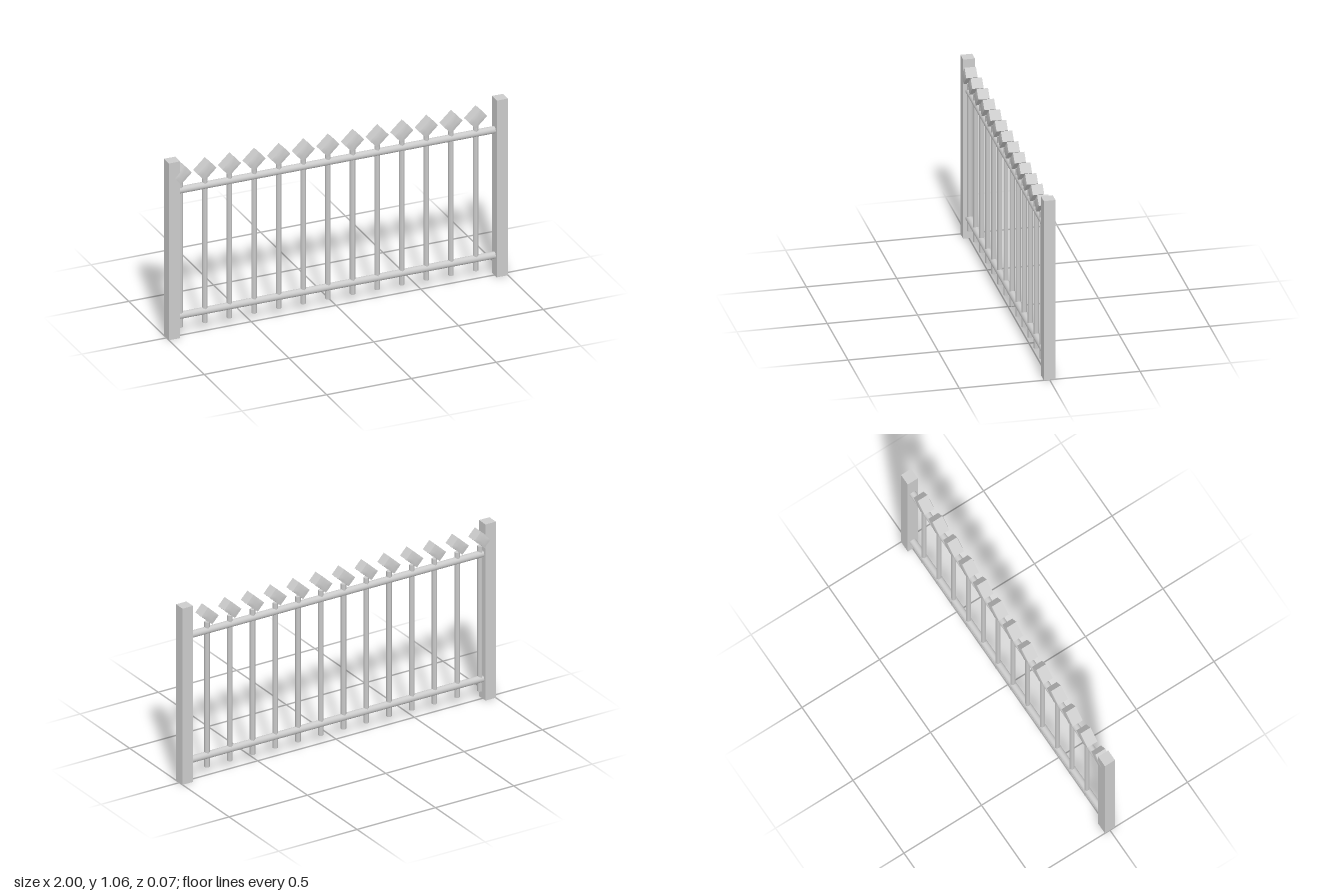
import * as THREE from 'three';

// Block whose front and back swell slightly towards the middle, with crisp edges.
function finialGeometry(w, h, d) {
  const geometry = new THREE.BoxGeometry(w, h, d, 6, 6, 1);
  const p = geometry.attributes.position;
  for (let i = 0; i < p.count; i++) {
    const edge = Math.max(Math.abs(p.getX(i)) / (w / 2), Math.abs(p.getY(i)) / (h / 2));
    p.setZ(i, p.getZ(i) * (1 - 0.1 * edge ** 3));
  }
  geometry.computeVertexNormals();
  return geometry;
}

export function createModel() {
  const fence = new THREE.Group();
  fence.name = 'fence';
  const metal = new THREE.MeshStandardMaterial({ color: 0xcccccc });
  metal.name = 'light grey metal';

  const add = (name, geometry, x, y) => {
    const mesh = new THREE.Mesh(geometry, metal);
    mesh.name = name;
    mesh.position.set(x, y, 0);
    fence.add(mesh);
    return mesh;
  };

  // End posts
  const post = new THREE.BoxGeometry(0.066, 1.056, 0.065);
  add('rightPost', post, -0.967, 0.528);
  add('leftPost', post, 0.967, 0.528);

  // Round rails between the posts
  const rail = new THREE.CylinderGeometry(0.02, 0.02, 1.88, 16).rotateZ(Math.PI / 2);
  add('bottomRail', rail, 0, 0.12);
  add('topRail', rail, 0, 0.869);

  // Six-sided pickets, each topped with a tilted block
  const picket = new THREE.CylinderGeometry(0.015, 0.015, 0.87, 6);
  const finial = finialGeometry(0.093, 0.061, 0.07);
  for (let i = 0; i < 13; i++) {
    const x = -0.919 + i * 0.1452;
    add('picket', picket, x, 0.485);
    add('finial', finial, x, 0.966).rotation.z = 0.75;
  }
  return fence;
}
